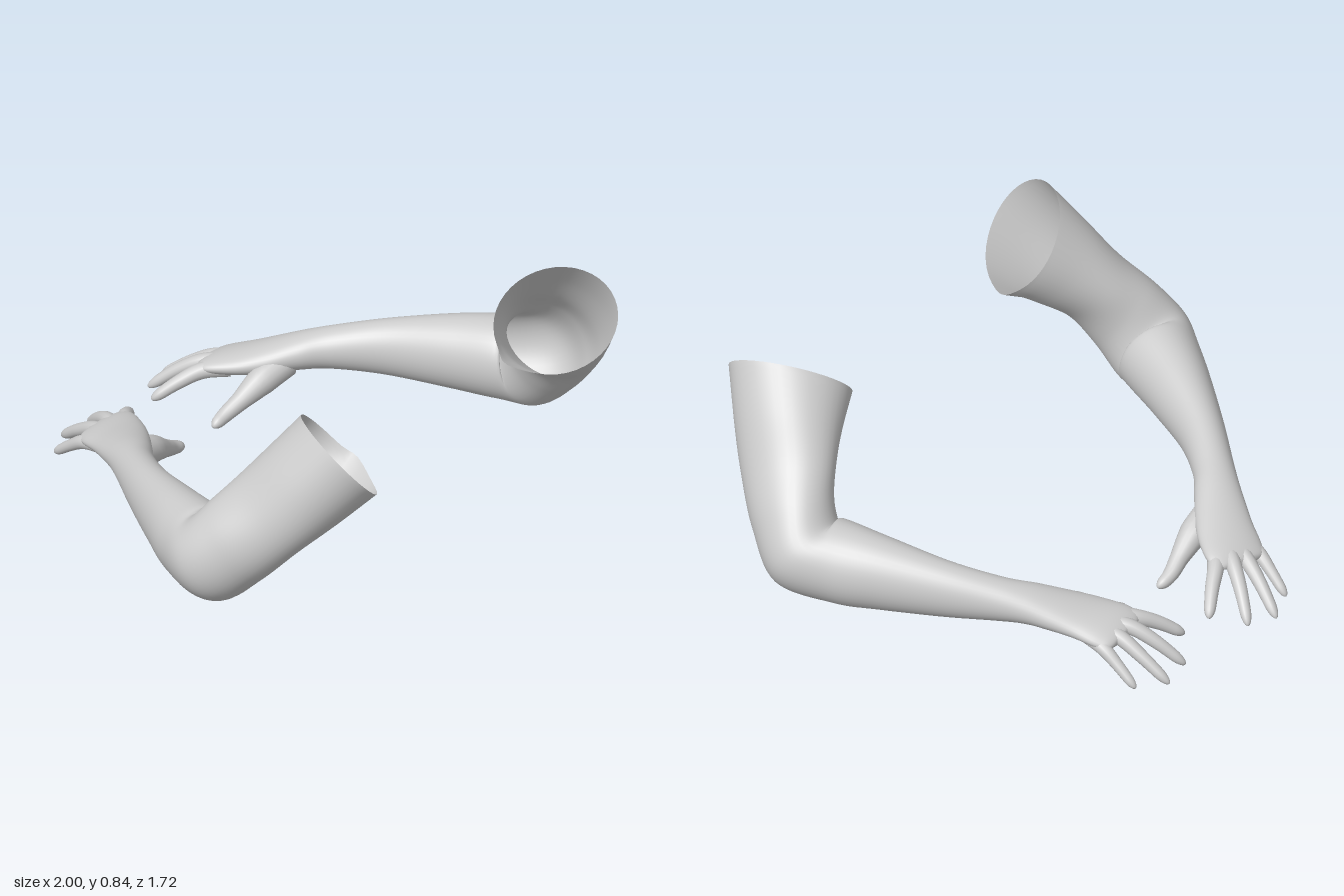
import * as THREE from 'three';

const material = new THREE.MeshStandardMaterial({ color: 0xcccccc, side: THREE.DoubleSide });
const V = (x, y, z) => new THREE.Vector3(x, y, z);

// Skin over a list of elliptical rings { c, u, v }; warp may adjust single points
function skin(name, rings, sides, warp) {
  const pos = [], index = [];
  rings.forEach(({ c, u, v }, i) => {
    for (let j = 0; j < sides; j++) {
      const a = (j / sides) * Math.PI * 2;
      const p = c.clone().addScaledVector(u, Math.cos(a)).addScaledVector(v, Math.sin(a));
      if (warp) warp(p, i, a);
      pos.push(p.x, p.y, p.z);
      if (i === rings.length - 1) continue;
      const k = (j + 1) % sides, r = i * sides, s = r + sides;
      index.push(r + j, r + k, s + j, r + k, s + k, s + j);
    }
  });
  const geometry = new THREE.BufferGeometry();
  geometry.setAttribute('position', new THREE.Float32BufferAttribute(pos, 3));
  geometry.setIndex(index);
  geometry.computeVertexNormals();
  const mesh = new THREE.Mesh(geometry, material);
  mesh.name = name;
  return mesh;
}

// Smoothly interpolate stations of [centre, half axis u, half axis v]
function ringsFromStations(stations, steps) {
  const [c, u, v] = [0, 3, 6].map((k) => new THREE.CatmullRomCurve3(
    stations.map((s) => V(s[k], s[k + 1], s[k + 2])), false, 'catmullrom', 0.5));
  const n = (stations.length - 1) * steps;
  return Array.from({ length: n + 1 }, (_, i) => ({
    c: c.getPoint(i / n), u: u.getPoint(i / n), v: v.getPoint(i / n),
  }));
}

// Tapered round digit through [x, y, z, radius] points with a domed tip
function digit(name, points) {
  const curve = new THREE.CatmullRomCurve3(points.map((p) => V(p[0], p[1], p[2])));
  const n = 24, last = points.length - 1, dome = 0.13;
  const rings = [];
  for (let i = 0; i <= n; i++) {
    const t = 1 - (1 - i / n) ** 1.6;
    const k = Math.min(Math.floor(t * last), last - 1);
    let r = THREE.MathUtils.lerp(points[k][3], points[k + 1][3], t * last - k);
    if (t > 1 - dome) r *= Math.sqrt(Math.max(0, 1 - ((t - 1 + dome) / dome) ** 2));
    const d = curve.getTangent(t);
    const u = V(0, 1, 0).cross(d).normalize();
    const v = d.clone().cross(u);
    rings.push({ c: curve.getPoint(t), u: u.multiplyScalar(r), v: v.multiplyScalar(r) });
  }
  return skin(name, rings, 16);
}

// Shoulder opening, bent elbow, forearm, wrist and palm
const ARM = [
  [0.575, 0.715, 0.665, 0.15, 0.135, 0.035, 0.05, -0.055, 0.19],
  [0.67, 0.605, 0.585, 0.125, 0.112, 0.015, 0.055, -0.065, 0.17],
  [0.755, 0.495, 0.5, 0.108, 0.085, 0, 0.055, -0.075, 0.15],
  [0.82, 0.385, 0.412, 0.125, 0.07, -0.01, 0.05, -0.105, 0.115],
  [0.85, 0.287, 0.315, 0.145, 0.045, -0.024, 0.04, -0.135, 0.07],
  [0.803, 0.282, 0.215, 0.12, 0, -0.073, 0, -0.152, 0],
  [0.733, 0.272, 0.058, 0.098, 0, -0.059, 0, -0.136, 0],
  [0.63, 0.255, -0.147, 0.071, 0, -0.043, 0, -0.105, 0],
  [0.528, 0.239, -0.302, 0.065, 0, -0.036, 0, -0.079, 0],
  [0.46, 0.226, -0.385, 0.077, 0, -0.034, 0, -0.067, 0],
  [0.4, 0.205, -0.46, 0.093, 0, -0.032, 0, -0.059, 0],
  [0.345, 0.185, -0.54, 0.104, -0.005, -0.03, 0, -0.048, 0],
  [0.3, 0.165, -0.63, 0.11, -0.012, -0.022, 0, -0.036, 0],
  [0.29, 0.155, -0.672, 0.085, -0.01, -0.014, 0, -0.02, 0],
  [0.288, 0.152, -0.68, 0.002, 0, 0, 0, -0.002, 0],
];

// Digits as base, joints and tip
const DIGITS = {
  thumb: [[0.4, 0.19, -0.42, 0.055], [0.295, 0.155, -0.437, 0.052], [0.2, 0.105, -0.457, 0.033],
    [0.14, 0.073, -0.472, 0.027], [0.078, 0.052, -0.473, 0.019]],
  indexFinger: [[0.27, 0.17, -0.56, 0.032], [0.205, 0.16, -0.63, 0.03], [0.135, 0.125, -0.68, 0.025],
    [0.06, 0.066, -0.738, 0.019]],
  middleFinger: [[0.3, 0.17, -0.59, 0.032], [0.255, 0.162, -0.665, 0.028], [0.21, 0.115, -0.745, 0.024],
    [0.155, 0.034, -0.835, 0.018]],
  ringFinger: [[0.34, 0.165, -0.59, 0.032], [0.315, 0.152, -0.67, 0.028], [0.295, 0.105, -0.755, 0.024],
    [0.265, 0.024, -0.865, 0.018]],
  littleFinger: [[0.385, 0.155, -0.58, 0.03], [0.385, 0.137, -0.66, 0.026], [0.38, 0.095, -0.725, 0.021],
    [0.373, 0.031, -0.806, 0.016]],
};

function buildArm(name) {
  const arm = new THREE.Group();
  arm.name = name;
  // The open rim flares to a point on its inner side
  const flare = (p, i, a) => {
    const f = 0.04 * Math.exp(-(((a - Math.PI) / 0.35) ** 2)) * Math.max(0, 1 - i / 4);
    p.add(V(-0.7 * f, 0.3 * f, -0.8 * f));
  };
  arm.add(skin('armAndPalm', ringsFromStations(ARM, 8), 40, flare));
  for (const [part, points] of Object.entries(DIGITS)) arm.add(digit(part, points));
  return arm;
}

export function createModel() {
  const model = new THREE.Group();
  model.name = 'armPair';
  const left = buildArm('leftArm');
  const right = buildArm('rightArm');
  right.scale.x = -1;
  model.add(left, right);
  return model;
}
